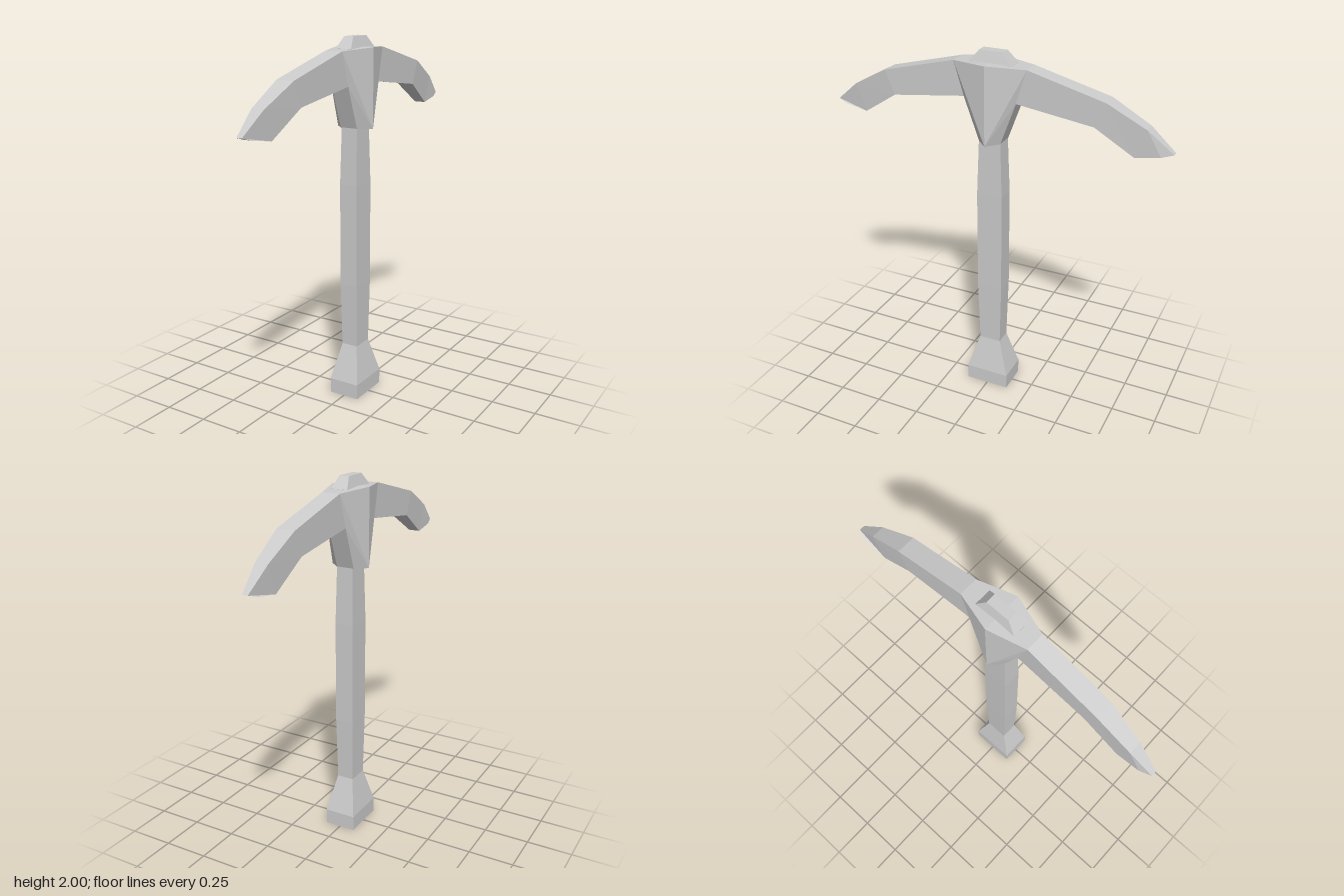
import * as THREE from 'three';
import { ConvexGeometry } from 'three/addons/geometries/ConvexGeometry.js';

const material = new THREE.MeshStandardMaterial({ color: 0xcccccc, flatShading: true });

// Closed skin over a row of four-cornered rings; rings turn counter-clockwise about the axis.
function loft(rings) {
  const pos = [];
  const quad = (a, b, c, d) => pos.push(...a, ...b, ...c, ...a, ...c, ...d);
  for (let s = 0; s < rings.length - 1; s++) {
    for (let i = 0; i < 4; i++) {
      const j = (i + 1) % 4;
      quad(rings[s][i], rings[s][j], rings[s + 1][j], rings[s + 1][i]);
    }
  }
  quad(...[...rings[0]].reverse());
  quad(...rings[rings.length - 1]);
  const g = new THREE.BufferGeometry();
  g.setAttribute('position', new THREE.Float32BufferAttribute(pos, 3));
  g.computeVertexNormals();
  return g;
}

// Level rectangle from [height, half width in x, half depth in z]
const level = ([y, hx, hz]) => [[-hx, y, hz], [hx, y, hz], [hx, y, -hz], [-hx, y, -hz]];

// Slanted arm section: centre x, then lower edge and upper edge as [z, y, half width]
const slanted = (side) => ([cx, [zb, yb, wb], [zt, yt, wt]]) => [
  [cx - wb, yb, side * zb], [cx + wb, yb, side * zb],
  [cx + wt, yt, side * zt], [cx - wt, yt, side * zt],
];

export function createModel() {
  const model = new THREE.Group();
  const add = (name, geometry) => {
    const mesh = new THREE.Mesh(geometry, material);
    mesh.name = name;
    model.add(mesh);
  };

  // Shaft with flared pommel and a slight swell at the grip
  add('handle', loft([
    [0, 0.088, 0.125], [0.085, 0.088, 0.125], [0.29, 0.047, 0.062],
    [0.65, 0.052, 0.072], [1.22, 0.052, 0.072], [1.53, 0.047, 0.061],
  ].map(level)));

  // Tapered end of the shaft above the head
  add('handleTip', loft([[1.9, 0.046, 0.116], [1.94, 0.046, 0.116], [2, 0.027, 0.065]].map(level)));

  // Faceted socket with a ridge down each side
  const corners = [];
  for (const sx of [-1, 1]) {
    corners.push(new THREE.Vector3(sx * 0.109, 1.945, 0), new THREE.Vector3(sx * 0.109, 1.525, 0));
    for (const sz of [-1, 1]) {
      for (const [y, z] of [[1.935, 0.2], [1.755, 0.145], [1.525, 0.06]]) {
        corners.push(new THREE.Vector3(sx * 0.05 - 0.003, y, sz * z));
      }
    }
  }
  add('headSocket', new ConvexGeometry(corners));

  // Two drooping arms, mirrored front to back
  const arm = [
    [-0.003, [0.145, 1.755, 0.05], [0.2, 1.935, 0.05]],
    [-0.004, [0.555, 1.7, 0.05], [0.608, 1.83, 0.05]],
    [-0.01, [0.757, 1.57, 0.033], [0.812, 1.72, 0.035]],
    [-0.012, [0.885, 1.592, 0.031], [0.945, 1.61, 0.015]],
  ];
  add('frontArm', loft(arm.map(slanted(1))));
  add('backArm', loft(arm.map(slanted(-1)).reverse()));

  return model;
}
